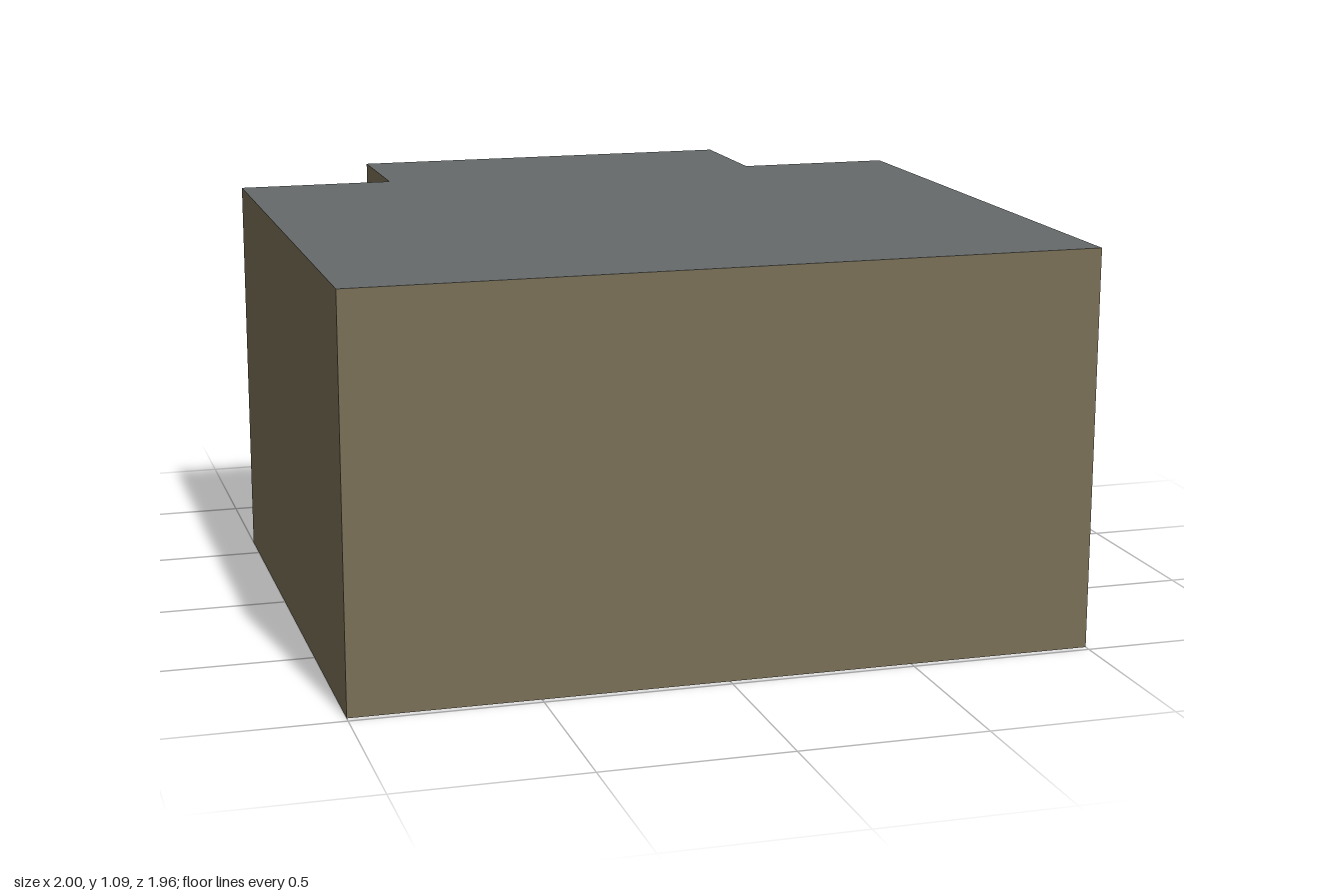
import * as THREE from 'three';

const HEIGHT = 1.085;
const HALF_WIDTH = 1, FRONT = 0.98, BACK = -0.98;
const STEP_Z = -0.612, WING_X = 0.56;

export function createModel() {
  const wallBrown = new THREE.MeshStandardMaterial({ color: 0x786e55 });
  wallBrown.name = 'wallBrown';
  const roofGrey = new THREE.MeshStandardMaterial({ color: 0x666a6b });
  roofGrey.name = 'roofGrey';

  // Footprint: main block with a narrower wing at the back (shape y = -z)
  const half = [[HALF_WIDTH, FRONT], [HALF_WIDTH, STEP_Z], [WING_X, STEP_Z], [WING_X, BACK]];
  const outline = [...half, ...half.map(([x, z]) => [-x, z]).reverse()];
  const footprint = new THREE.Shape(outline.map(([x, z]) => new THREE.Vector2(x, -z)));

  const geometry = new THREE.ExtrudeGeometry(footprint, { depth: HEIGHT, bevelEnabled: false });
  geometry.rotateX(-Math.PI / 2);

  // The caps come first, floor then roof: give only the roof its own colour
  const [caps, sides] = geometry.groups.map((g) => ({ ...g }));
  geometry.clearGroups();
  geometry.addGroup(0, caps.count / 2, 0);
  geometry.addGroup(caps.count / 2, caps.count / 2, 1);
  geometry.addGroup(sides.start, sides.count, 0);

  const building = new THREE.Mesh(geometry, [wallBrown, roofGrey]);
  building.name = 'buildingBlock';

  const model = new THREE.Group();
  model.name = 'building';
  model.add(building);
  return model;
}
